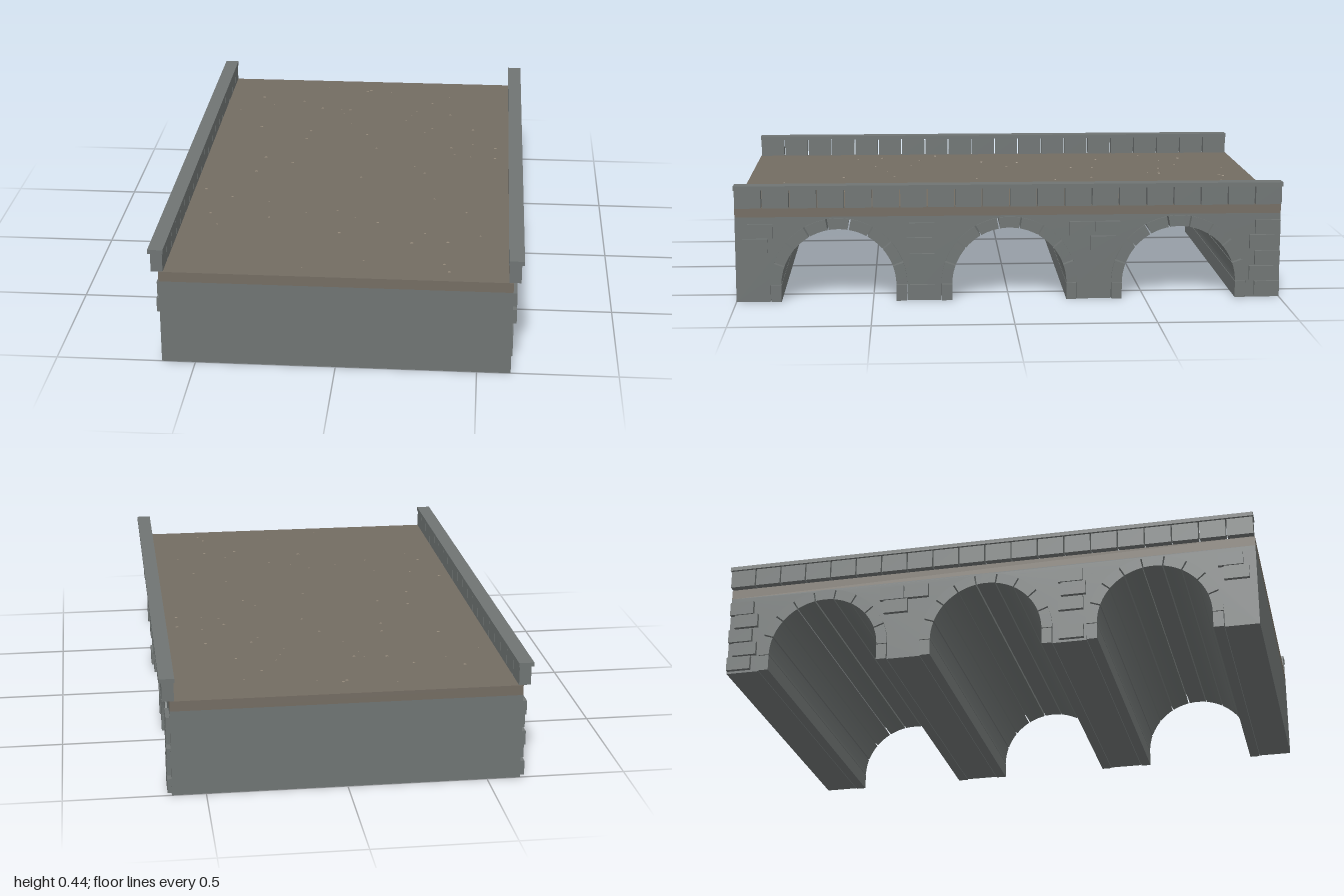
import * as THREE from 'three';
import { mergeGeometries } from 'three/addons/utils/BufferGeometryUtils.js';

const stone = new THREE.MeshStandardMaterial({ color: 0x6f7473, flatShading: true });
const roadMat = new THREE.MeshStandardMaterial({ color: 0x736c62, flatShading: true });
const pebbleMat = new THREE.MeshStandardMaterial({ color: 0x8f8576, flatShading: true });

const SPRING = 0.06, R_IN = 0.21, R_OUT = 0.25;
const ARCHES = [-0.625, 0, 0.625];

// Extrudes a (z, y) outline across the bridge, centred on x = 0.
function across(shape, width) {
  const g = new THREE.ExtrudeGeometry(shape, { depth: width, bevelEnabled: false, curveSegments: 3 });
  return g.translate(0, 0, -width / 2).rotateY(-Math.PI / 2);
}

function box(w, h, d, x, y, z) {
  return new THREE.BoxGeometry(w, h, d).translate(x, y, z);
}

// Seeded random numbers for the pebbles.
function seeded(seed) {
  return () => (seed = (seed * 16807) % 2147483647) / 2147483647;
}

export function createModel() {
  const group = new THREE.Group();
  const add = (name, geometries, material) => {
    const mesh = new THREE.Mesh(mergeGeometries(geometries), material);
    mesh.name = name;
    group.add(mesh);
  };

  // Main body with three arched openings cut from below
  const outline = [new THREE.Vector2(-1, 0.315), new THREE.Vector2(-1, 0)];
  for (const c of ARCHES) {
    outline.push(new THREE.Vector2(c - R_OUT, 0));
    for (let i = 0; i <= 27; i++) {
      const a = Math.PI * (1 - i / 27);
      outline.push(new THREE.Vector2(c + R_OUT * Math.cos(a), SPRING + R_OUT * Math.sin(a)));
    }
    outline.push(new THREE.Vector2(c + R_OUT, 0));
  }
  outline.push(new THREE.Vector2(1, 0), new THREE.Vector2(1, 0.315));
  add('body', [across(new THREE.Shape(outline), 1.24)], stone);

  // Arch stones running right through, with narrow open joints
  const ring = [];
  const step = Math.PI / 9, gap = 0.012;
  for (const c of ARCHES) {
    for (let i = 0; i < 9; i++) {
      const a = i * step + gap, b = (i + 1) * step - gap;
      const s = new THREE.Shape();
      s.absarc(c, SPRING, R_OUT, a, b, false);
      s.absarc(c, SPRING, R_IN, b, a, true);
      s.closePath();
      ring.push(across(s, 1.254));
    }
    // Straight stones under the arch springing
    for (const side of [-1, 1]) {
      ring.push(across(new THREE.Shape([
        new THREE.Vector2(c + side * R_IN, 0), new THREE.Vector2(c + side * (R_OUT - 0.002), 0),
        new THREE.Vector2(c + side * (R_OUT - 0.002), SPRING), new THREE.Vector2(c + side * R_IN, SPRING),
      ]), 1.254));
    }
  }
  add('archStones', ring, stone);

  // Raised facing stones on the piers: z, y
  const facing = [
    [0.908, 0.265], [0.928, 0.21],
    [0.32, 0.265], [0.33, 0.21], [0.32, 0.15], [0.32, 0.035],
    [-0.265, 0.265], [-0.36, 0.265], [-0.345, 0.21],
    [-0.952, 0.265], [-0.932, 0.21], [-0.952, 0.15], [-0.932, 0.093], [-0.952, 0.035],
  ];
  const bricks = [];
  for (const side of [-1, 1]) {
    for (const [z, y] of facing) bricks.push(box(0.03, 0.052, 0.092, side * 0.62, y, z));
  }
  add('facingStones', bricks, stone);

  // Road slab
  add('road', [box(1.24, 0.037, 2, 0, 0.3335, 0)], roadMat);

  // Parapets: separate blocks under a continuous coping
  const blocks = [], coping = [];
  for (const side of [-1, 1]) {
    for (let i = 0; i < 20; i++) {
      blocks.push(box(0.042, 0.068, 0.095, side * 0.625, 0.386, -0.95 + i * 0.1));
    }
    coping.push(box(0.054, 0.015, 2, side * 0.628, 0.4275, 0));
  }
  add('parapetBlocks', blocks, stone);
  add('parapetCoping', coping, stone);

  // Small pebbles set into the road
  const rnd = seeded(41), pebbles = [];
  for (let i = 0; i < 60; i++) {
    const r = 0.003 + rnd() * 0.004;
    pebbles.push(new THREE.IcosahedronGeometry(r, 0).scale(1, 0.4, 1)
      .translate((rnd() - 0.5) * 1.15, 0.352, (rnd() - 0.5) * 1.94));
  }
  add('pebbles', pebbles, pebbleMat);

  return group;
}
